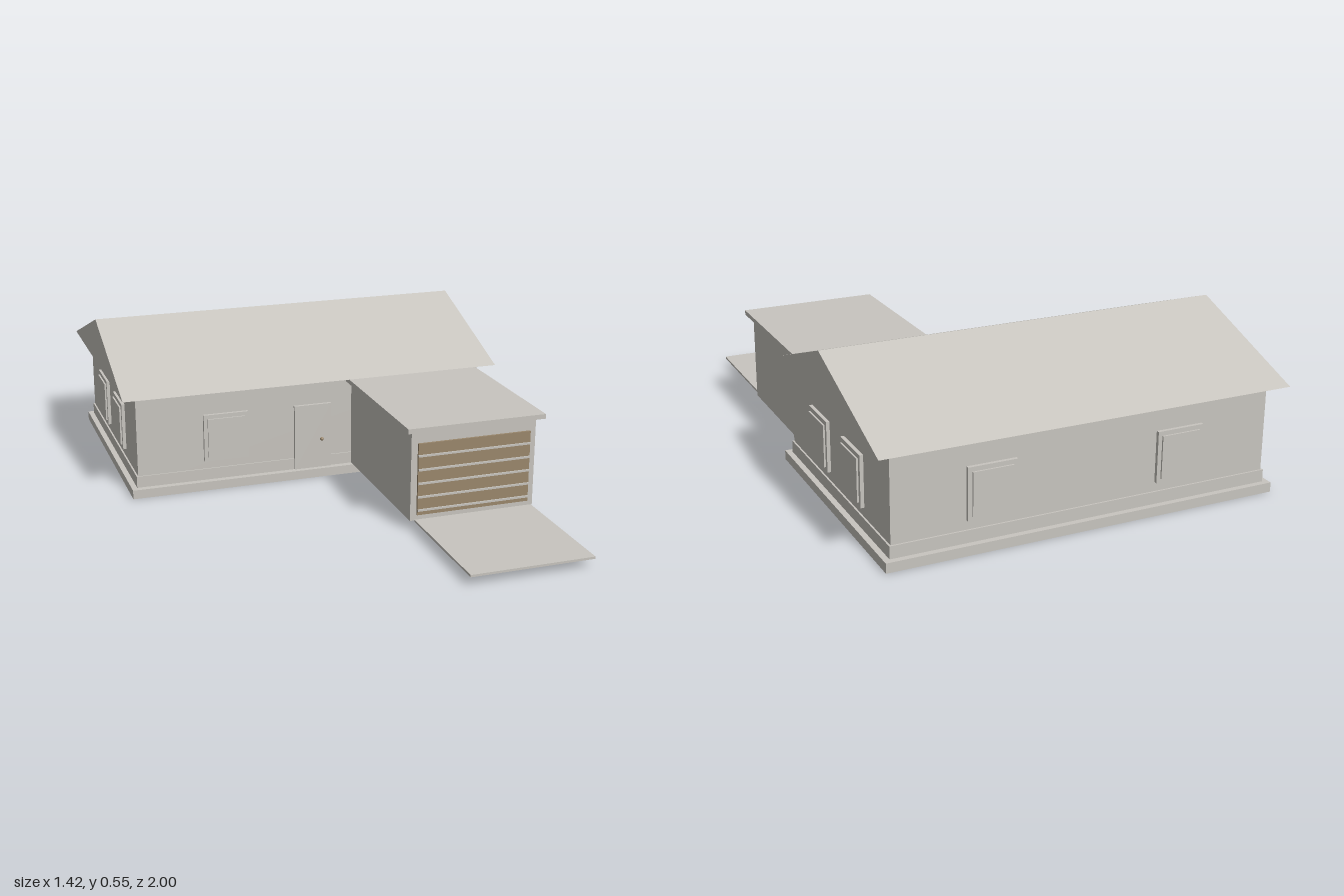
import * as THREE from 'three';

export function createModel() {
  const house = new THREE.Group();
  house.name = 'house';

  const plaster = new THREE.MeshStandardMaterial({ color: 0xc8c5bf });
  plaster.name = 'pale plaster';
  const timber = new THREE.MeshStandardMaterial({ color: 0x9a876c });
  timber.name = 'brown timber';

  // Box given by its extents on each axis
  function box(name, [x0, x1], [y0, y1], [z0, z1], material = plaster, parent = house) {
    const mesh = new THREE.Mesh(new THREE.BoxGeometry(x1 - x0, y1 - y0, z1 - z0), material);
    mesh.position.set((x0 + x1) / 2, (y0 + y1) / 2, (z0 + z1) / 2);
    mesh.name = name;
    parent.add(mesh);
    return mesh;
  }

  // Main house: slab, plinth band and walls
  box('foundation', [-0.685, 0.685], [0, 0.033], [-0.97, -0.037]);
  box('plinth', [-0.665, 0.665], [0.033, 0.075], [-0.95, -0.06]);
  box('walls', [-0.659, 0.659], [0.033, 0.376], [-0.944, -0.065]);

  // Gable roof: triangular section swept along x
  const gable = new THREE.Shape([
    new THREE.Vector2(0.016, 0.375),
    new THREE.Vector2(0.505, 0.55),
    new THREE.Vector2(0.997, 0.375),
  ]);
  const roofGeometry = new THREE.ExtrudeGeometry(gable, { depth: 1.424, bevelEnabled: false });
  roofGeometry.rotateY(Math.PI / 2);
  roofGeometry.translate(-0.712, 0, 0);
  const roof = new THREE.Mesh(roofGeometry, plaster);
  roof.name = 'gableRoof';
  house.add(roof);

  // Windows: a frame with a raised pane, facing outwards along local +z
  function addWindow(name, x, z, angle) {
    const group = new THREE.Group();
    group.name = name;
    box('frame', [-0.083, 0.083], [0.107, 0.282], [-0.005, 0.012], plaster, group);
    box('pane', [-0.069, 0.069], [0.121, 0.267], [0.01, 0.018], plaster, group);
    group.position.set(x, 0, z);
    group.rotation.y = angle;
    house.add(group);
  }
  addWindow('frontWindow', -0.332, -0.065, 0);
  for (const side of [-1, 1]) {
    addWindow('backWindow', side * 0.33, -0.944, Math.PI);
    for (const z of [-0.356, -0.652]) addWindow('sideWindow', side * 0.659, z, side * Math.PI / 2);
  }

  // Front door with knob
  box('frontDoor', [-0.072, 0.069], [0.034, 0.28], [-0.07, -0.053]);
  const knob = new THREE.Mesh(new THREE.SphereGeometry(0.007, 12, 8), timber);
  knob.name = 'doorKnob';
  knob.position.set(0.032, 0.145, -0.049);
  house.add(knob);

  // Garage with a flat overhanging roof
  box('garageWalls', [0.152, 0.61], [0.032, 0.357], [-0.07, 0.53]);
  box('garageRoof', [0.131, 0.635], [0.354, 0.371], [-0.066, 0.552]);

  // Garage door: timber panel divided by thin pale strips
  box('garageDoor', [0.175, 0.588], [0.053, 0.31], [0.525, 0.538], timber);
  for (const y of [0.071, 0.119, 0.168, 0.217, 0.267]) {
    box('garageDoorStrip', [0.175, 0.588], [y - 0.0035, y + 0.0035], [0.534, 0.543]);
  }

  // Driveway
  box('driveway', [0.165, 0.6], [0.031, 0.039], [0.54, 1]);

  return house;
}
